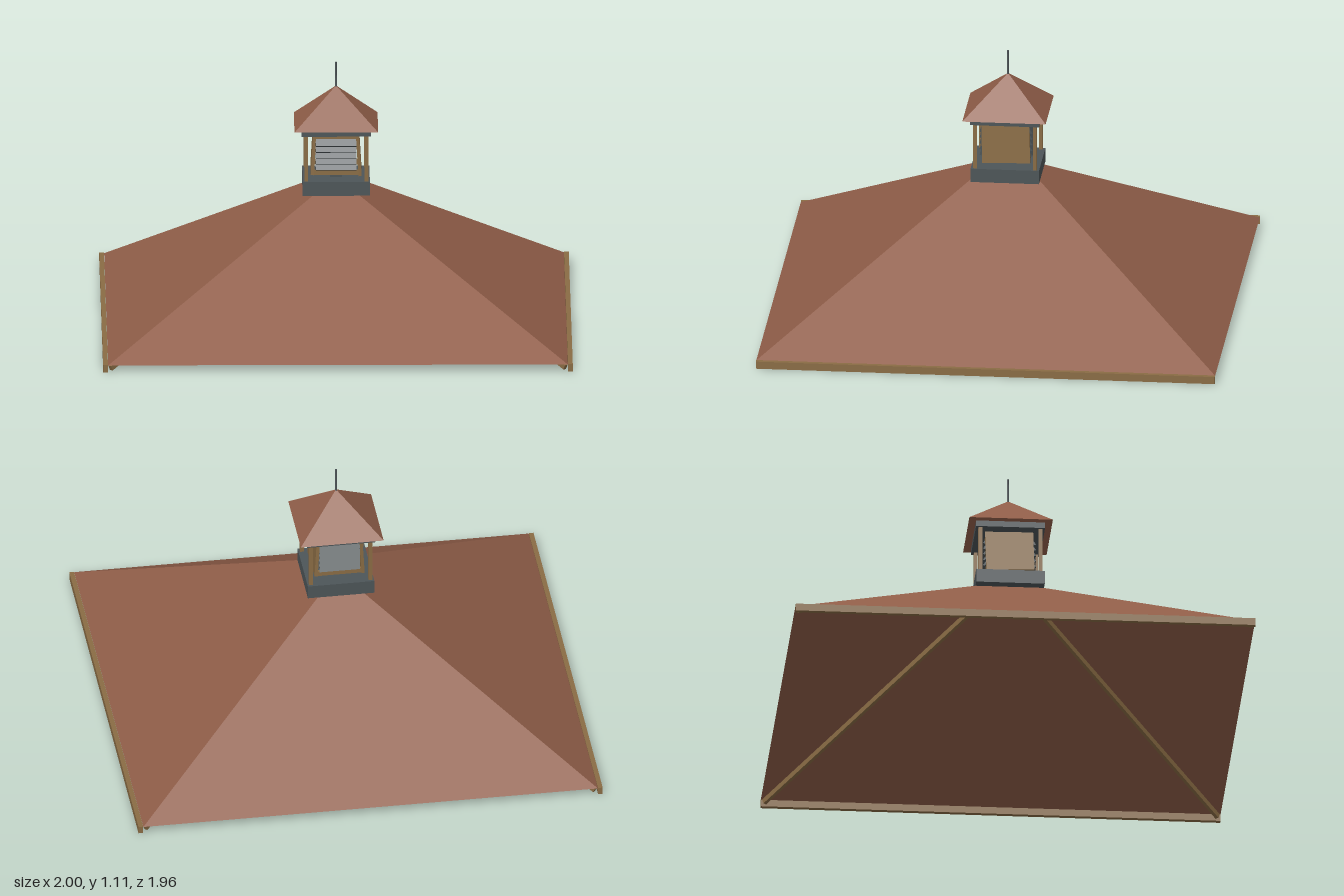
import * as THREE from 'three';

const mat = (name, color, side = THREE.FrontSide) => {
  const m = new THREE.MeshStandardMaterial({ color, flatShading: true, side });
  m.name = name;
  return m;
};

// Open hipped shell: rectangular eave, ridge along z (a point when ridge is 0)
function hipShell(hx, hz, y0, y1, ridge) {
  const c = [[-hx, y0, hz], [hx, y0, hz], [hx, y0, -hz], [-hx, y0, -hz]];
  const f = [0, y1, ridge], b = [0, y1, -ridge];
  const tris = [c[0], c[1], f, c[2], c[3], b, c[1], c[2], f, c[3], c[0], b];
  if (ridge > 0) tris.push(c[2], b, f, c[0], f, b);
  const g = new THREE.BufferGeometry();
  g.setAttribute('position', new THREE.Float32BufferAttribute(tris.flat(), 3));
  g.computeVertexNormals();
  return g;
}

export function createModel() {
  const root = new THREE.Group();
  root.name = 'hippedRoofWithCupola';
  const shingle = mat('shingleBrown', 0x8f5d48, THREE.DoubleSide);
  const wood = mat('woodTan', 0x8a6c44);
  const slate = mat('slateGrey', 0x4d5558);

  const add = (name, geometry, material, x = 0, y = 0, z = 0, parent = root) => {
    const m = new THREE.Mesh(geometry, material);
    m.name = name;
    m.position.set(x, y, z);
    parent.add(m);
    return m;
  };
  const box = (name, w, h, d, material, x, y, z, parent) =>
    add(name, new THREE.BoxGeometry(w, h, d), material, x, y, z, parent);

  // Main roof
  add('mainRoof', hipShell(0.977, 0.98, 0.033, 0.626, 0.05), shingle);

  // Eave boards on the two sides
  for (const s of [-1, 1]) box('eaveBoard', 0.02, 0.032, 1.96, wood, s * 0.988, 0.019, 0);

  // Hip rafters under the four hips
  for (const sx of [-1, 1]) for (const sz of [-1, 1]) {
    const a = new THREE.Vector3(sx * 0.967, 0.018, sz * 0.967);
    const b = new THREE.Vector3(sx * 0.04, 0.583, sz * 0.085);
    const mid = a.clone().add(b).multiplyScalar(0.5);
    const rafter = box('hipRafter', 0.016, 0.022, a.distanceTo(b), wood, mid.x, mid.y, mid.z);
    rafter.lookAt(b);
  }

  // Cupola
  const cupola = new THREE.Group();
  cupola.name = 'cupola';
  root.add(cupola);
  box('cupolaBase', 0.286, 0.06, 0.292, slate, 0, 0.595, 0, cupola);
  box('cupolaPlinth', 0.05, 0.02, 0.12, slate, 0, 0.635, 0, cupola);
  box('cupolaTopFrame', 0.294, 0.026, 0.294, slate, 0, 0.837, 0, cupola);
  for (const sx of [-1, 1]) for (const sz of [-1, 1])
    box('cupolaPost', 0.016, 0.2, 0.016, wood, sx * 0.128, 0.725, sz * 0.128, cupola);

  // Louvred box: solid sides, slatted front and back
  for (const s of [-1, 1]) {
    const panel = box('sidePanel', 0.014, 0.182, 0.205, wood, s * 0.096, 0.733, 0, cupola);
    panel.rotation.z = s * 0.06;
    panel.rotation.x = s * 0.03;
    box('topRail', 0.19, 0.022, 0.012, wood, 0, 0.813, s * 0.095, cupola);
    box('bottomRail', 0.19, 0.022, 0.012, wood, 0, 0.655, s * 0.095, cupola);
    for (let i = 0; i < 5; i++) {
      const slat = box('louvreSlat', 0.174, 0.034, 0.008, slate, 0, 0.682 + i * 0.026, s * 0.1, cupola);
      slat.rotation.x = -s * 0.6;
    }
  }

  // Cap roof and spire
  add('capRoof', hipShell(0.178, 0.178, 0.85, 1.012, 0), shingle, 0, 0, 0, cupola);
  add('spire', new THREE.CylinderGeometry(0.004, 0.005, 0.125, 8), slate, 0, 1.0525, 0, cupola);

  return root;
}
